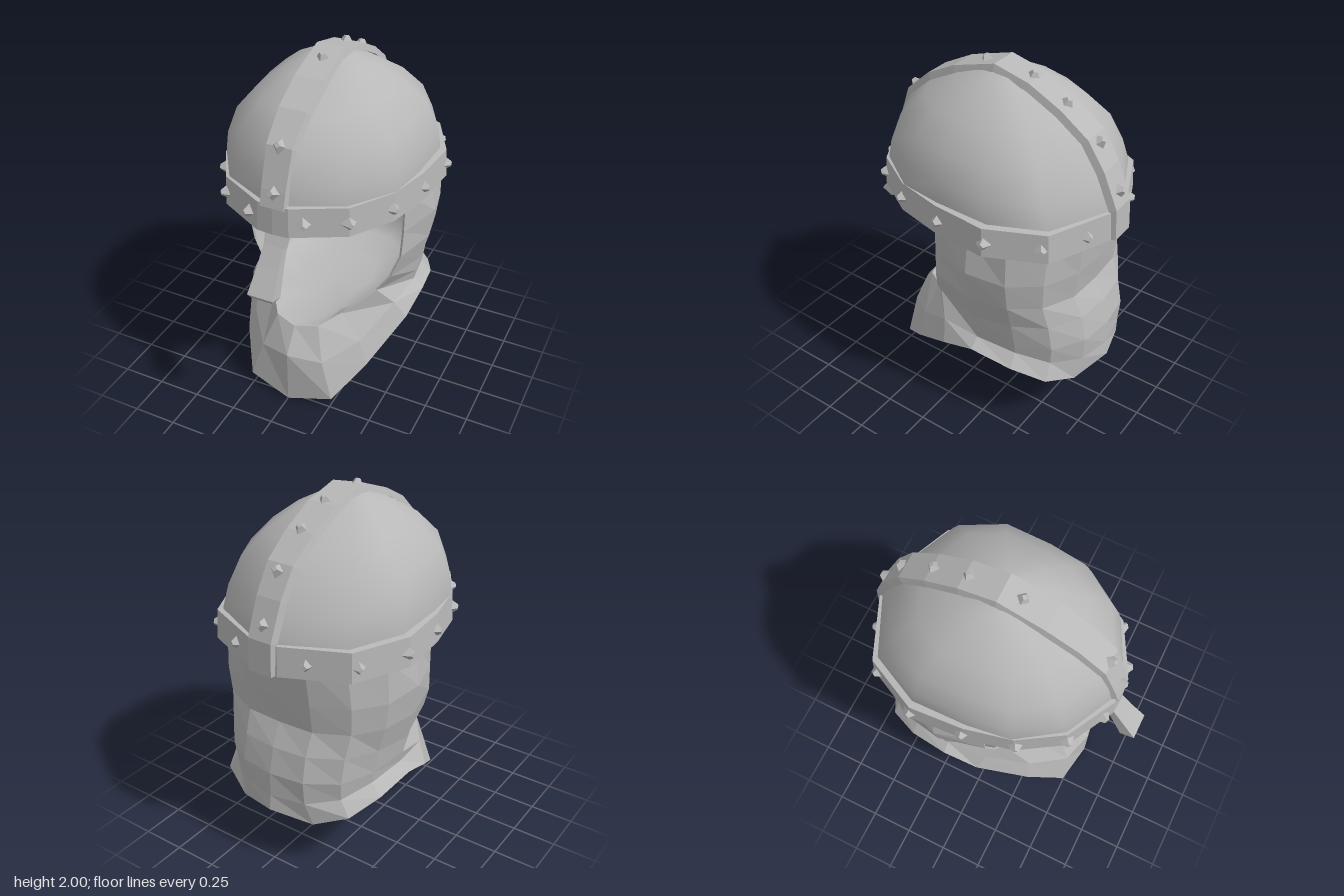
import * as THREE from 'three';
import { mergeGeometries, mergeVertices } from 'three/addons/utils/BufferGeometryUtils.js';

const steel = new THREE.MeshStandardMaterial({ color: 0xb8b8b8, side: THREE.DoubleSide });
steel.name = 'steel grey';

// Surface stretched over rows of [x, y, z] points
function sheet(rows, smooth = false) {
  const n = rows[0].length, index = [];
  for (let r = 0; r < rows.length - 1; r++) {
    for (let c = 0; c < n - 1; c++) {
      const a = r * n + c, b = a + 1, d = a + n, e = d + 1;
      index.push(a, d, b, b, d, e);
    }
  }
  let g = new THREE.BufferGeometry();
  g.setAttribute('position', new THREE.Float32BufferAttribute(rows.flat(2), 3));
  g.setIndex(index);
  if (!smooth) g = g.toNonIndexed();
  g.computeVertexNormals();
  return g;
}

// Mirror a half row that starts on the centre plane
const mirrorRow = (half) => [
  ...half.slice(1).reverse().map(([x, y, z]) => [-x, y, z]), ...half,
];

export function createModel() {
  const group = new THREE.Group();
  const add = (name, geometry) => {
    const mesh = new THREE.Mesh(geometry, steel);
    mesh.name = name;
    group.add(mesh);
    return mesh;
  };

  // Dome: plan outline scaled up through levels [y, front z, back z, half width]
  const plan = [[0, -1], [0.15, -0.98], [0.75, -0.77], [1, -0.38], [0.99, 0.06],
    [0.93, 0.43], [0.63, 0.8], [0.15, 1], [0, 1]];
  const levels = [[1.3, 0.615, -0.765, 0.545], [1.4, 0.615, -0.755, 0.54], [1.51, 0.59, -0.705, 0.53],
    [1.66, 0.535, -0.62, 0.475], [1.79, 0.4, -0.485, 0.36], [1.89, 0.22, -0.31, 0.235],
    [1.95, 0.07, -0.16, 0.12], [1.975, -0.04, -0.04, 0]];
  add('dome', sheet(levels.map(([y, zf, zb, w]) => mirrorRow(plan.map(([u, v]) =>
    [u * w, y, -0.04 + (v > 0 ? v * (zf + 0.04) : -v * (zb + 0.04))]))), true));

  // Brow band: closed loop with a rectangular section, slightly tilted
  const bandPlan = [[0, -0.775], [0.09, -0.77], [0.44, -0.62], [0.588, -0.315], [0.568, -0.01],
    [0.508, 0.26], [0.36, 0.5], [0.09, 0.648], [0, 0.655]];
  const bandRow = (y, s) => mirrorRow(bandPlan.map(([x, z]) =>
    [x * s, y + z * 0.02, -0.04 + (z + 0.04) * s]));
  add('browBand', sheet([bandRow(1.225, 0.92), bandRow(1.225, 1), bandRow(1.39, 0.985),
    bandRow(1.395, 0.92), bandRow(1.225, 0.92)]));

  // Crest strip: bevelled bar from the brow band over the crown to the nape, as [z, y, half width]
  const crest = [[0.65, 1.39, 0.067], [0.625, 1.48, 0.068], [0.55, 1.69, 0.072],
    [0.4, 1.825, 0.078], [0.22, 1.92, 0.082], [-0.04, 2, 0.083], [-0.25, 1.95, 0.083],
    [-0.44, 1.855, 0.081], [-0.6, 1.74, 0.078], [-0.7, 1.59, 0.075], [-0.785, 1.39, 0.072],
    [-0.795, 1.21, 0.072]];
  const crestRows = crest.map(([z, y, w]) => {
    const d = new THREE.Vector2(-0.04 - z, 1.25 - y).setLength(0.04);
    const zi = z + d.x, yi = y + d.y;
    return [[-w - 0.013, yi, zi], [-w, y, z], [w, y, z], [w + 0.013, yi, zi], [-w - 0.013, yi, zi]];
  });
  crestRows.push(crestRows[crestRows.length - 1].map(() => [0, 1.21, -0.775]));
  add('crestStrip', sheet(crestRows));

  // Nose guard: sections [half width, front y, front z, back y, back z]
  const nose = [[0.085, 1.35, 0.64, 1.35, 0.58], [0.083, 1.25, 0.632, 1.24, 0.565],
    [0.064, 1.22, 0.612, 1.2, 0.568], [0.056, 1.16, 0.645, 1.13, 0.605], [0.062, 1.06, 0.712, 1.04, 0.655],
    [0.075, 0.935, 0.805, 0.91, 0.722], [0.06, 0.905, 0.785, 0.89, 0.755]];
  const noseRows = nose.map(([w, yf, zf, yb, zb]) =>
    [[-w, yf, zf], [w, yf, zf], [w, yb, zb], [-w, yb, zb], [-w, yf, zf]]);
  noseRows.push(noseRows[noseRows.length - 1].map(() => [0, 0.885, 0.765]));
  add('noseGuard', sheet(noseRows));

  // Neck guard: half rows from the nape round to the face opening
  const upper = [
    [[0, 1.27, -0.71], [0.2, 1.27, -0.69], [0.39, 1.27, -0.59], [0.52, 1.27, -0.42], [0.545, 1.27, -0.2], [0.49, 1.27, 0.06]],
    [[0, 1.03, -0.685], [0.21, 1.03, -0.67], [0.41, 1.03, -0.58], [0.53, 1.03, -0.42], [0.575, 1.05, -0.2], [0.49, 1.03, 0.06]],
    [[0, 0.86, -0.66], [0.21, 0.86, -0.65], [0.4, 0.87, -0.57], [0.51, 0.87, -0.42], [0.55, 0.87, -0.2], [0.485, 0.87, 0.07]],
    [[0, 0.73, -0.72], [0.2, 0.73, -0.7], [0.38, 0.73, -0.6], [0.47, 0.72, -0.42], [0.505, 0.7, -0.2], [0.44, 0.74, 0.1]],
  ];
  // Rows running all the way to the chin: lip, middle, flared rim
  const lip = [[0, 0.58, -0.755], [0.2, 0.58, -0.73], [0.37, 0.58, -0.62], [0.45, 0.58, -0.43],
    [0.49, 0.6, -0.2], [0.37, 0.64, 0.13], [0.22, 0.52, 0.27], [0.13, 0.49, 0.4], [0, 0.475, 0.44]];
  const middle = [[0, 0.44, -0.76], [0.2, 0.44, -0.72], [0.36, 0.47, -0.61], [0.44, 0.51, -0.43],
    [0.475, 0.535, -0.2], [0.45, 0.52, 0.05], [0.34, 0.37, 0.29], [0.19, 0.3, 0.48], [0, 0.33, 0.54]];
  const rim = [[0, 0.35, -0.77], [0.24, 0.31, -0.7], [0.42, 0.38, -0.62], [0.5, 0.44, -0.44],
    [0.535, 0.485, -0.2], [0.515, 0.41, 0.01], [0.39, 0.22, 0.3], [0.26, 0.065, 0.5], [0, 0.002, 0.54]];
  const cut = lip.slice(0, 6);
  add('neckGuard', sheet([...upper, cut].map(mirrorRow)));
  add('collar', sheet([lip, middle, rim].map(mirrorRow)));

  // Underside: fan from the rim to one middle point
  const rimRow = mirrorRow(rim);
  add('underside', sheet([rimRow, rimRow.map(() => [0, 0.3, -0.14])]));

  // Smooth bowl-shaped lining just inside the neck guard
  const inset = (row) => row.map(([x, y, z]) => [x * 0.975, y, -0.1 + (z + 0.1) * 0.975]);
  const floor = mirrorRow(inset(lip));
  const shrink = (y, s) => floor.map(([x, , z]) => [x * s, y, -0.14 + (z + 0.14) * s]);
  const bowl = mergeGeometries([
    sheet([...upper, cut].map((r) => mirrorRow(inset(r))), true),
    sheet([floor, shrink(0.48, 0.8), shrink(0.45, 0.45), shrink(0.44, 0)], true),
  ]);
  bowl.deleteAttribute('normal');
  const lining = mergeVertices(bowl);
  lining.computeVertexNormals();
  add('lining', lining);

  // Turned edge of the face opening
  const edge = [...upper.map((r) => r[5]), ...lip.slice(5)];
  const loop = [...edge, ...edge.slice(0, -1).reverse().map(([x, y, z]) => [-x, y, z])];
  add('openingEdge', sheet([loop, inset(loop)]));

  // Studs: low four-sided pyramids set along the surface normal
  const studShape = new THREE.CylinderGeometry(0.016, 0.043, 0.04, 4).toNonIndexed();
  studShape.translate(0, 0.012, 0);
  studShape.computeVertexNormals();
  const stud = (name, x, y, z, nx, ny, nz) => {
    const n = new THREE.Vector3(nx, ny, nz).normalize();
    const side = nx === 0 ? new THREE.Vector3(1, 0, 0)
      : new THREE.Vector3(0, 1, 0).cross(n).normalize();
    const m = add(name, studShape);
    m.quaternion.setFromRotationMatrix(
      new THREE.Matrix4().makeBasis(side, n, side.clone().cross(n)));
    m.position.set(x, y, z);
  };
  const bandStuds = [[0.155, 0.612, 0.5, 1], [0.355, 0.495, 0.75, 0.7], [0.498, 0.265, 0.9, 0.4],
    [0.562, -0.02, 1, 0.1], [0.577, -0.32, 1, -0.15], [0.45, -0.58, 0.85, -0.55], [0.22, -0.705, 0.4, -0.9]];
  for (const [x, z, nx, nz] of bandStuds) {
    for (const s of [-1, 1]) stud('bandStud', s * x, 1.3 + z * 0.02, z, s * nx, 0, nz);
  }
  const crestStuds = [[1.47, 0.63, 0.35, 0.94], [1.69, 0.545, 0.58, 0.8], [1.965, 0.06, 0.96, 0.3],
    [1.95, -0.225, 0.96, -0.25], [1.858, -0.425, 0.88, -0.45], [1.705, -0.622, 0.6, -0.7],
    [1.465, -0.752, 0.4, -0.92]];
  for (const [y, z, ny, nz] of crestStuds) stud('crestStud', 0, y, z, 0, ny, nz);

  return group;
}
